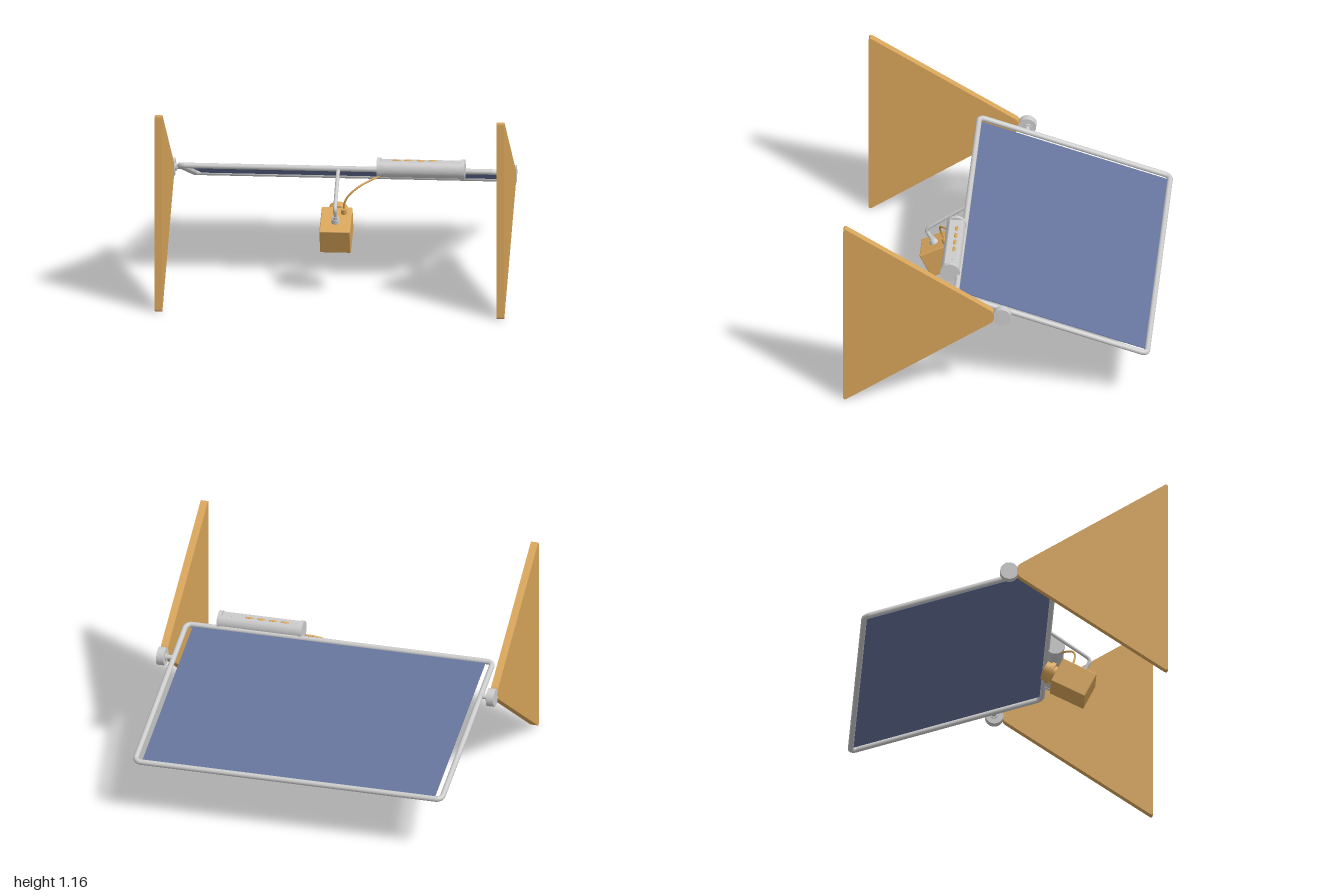
import * as THREE from 'three';
import { RoundedBoxGeometry } from 'three/addons/geometries/RoundedBoxGeometry.js';

const grey = new THREE.MeshStandardMaterial({ color: 0xcccccc });
const wood = new THREE.MeshStandardMaterial({ color: 0xd8a55a });
const blue = new THREE.MeshStandardMaterial({ color: 0x66749c });

function add(parent, name, geometry, material, x = 0, y = 0, z = 0) {
  const mesh = new THREE.Mesh(geometry, material);
  mesh.name = name;
  mesh.position.set(x, y, z);
  parent.add(mesh);
  return mesh;
}

function group(parent, name, x = 0, y = 0, z = 0, tilt = 0) {
  const g = new THREE.Group();
  g.name = name;
  g.position.set(x, y, z);
  g.rotation.x = tilt;
  parent.add(g);
  return g;
}

const cylX = (r, length, sides = 32) => new THREE.CylinderGeometry(r, r, length, sides).rotateZ(Math.PI / 2);
const cylZ = (r, length, sides = 32) => new THREE.CylinderGeometry(r, r, length, sides).rotateX(Math.PI / 2);

// Polygon whose corners are softened over the distance cut
function roundedPolygon(points, cut) {
  const shape = new THREE.Shape();
  points.forEach((p, i) => {
    const prev = points[(i + points.length - 1) % points.length];
    const next = points[(i + 1) % points.length];
    const a = p.clone().add(prev.clone().sub(p).setLength(cut));
    const b = p.clone().add(next.clone().sub(p).setLength(cut));
    if (i === 0) shape.moveTo(a.x, a.y);
    else shape.lineTo(a.x, a.y);
    shape.quadraticCurveTo(p.x, p.y, b.x, b.y);
  });
  shape.closePath();
  return shape;
}

// Extrudes a (z, y) profile along x, from x0 to x1
function extrudeX(shape, x0, x1) {
  return new THREE.ExtrudeGeometry(shape, { depth: x1 - x0, bevelEnabled: false, curveSegments: 24 })
    .rotateY(-Math.PI / 2).translate(x1, 0, 0);
}

export function createModel() {
  const model = new THREE.Group();
  model.name = 'tiltingScreen';

  // Triangular side panels with pivot discs
  const outline = [[0.875, -0.012], [0.875, 1.172], [0.012, 0.636], [0.012, 0.576]]
    .map(([z, y]) => new THREE.Vector2(z, y));
  const panel = roundedPolygon(outline, 0.028);
  for (const s of [1, -1]) {
    const side = s > 0 ? 'left' : 'right';
    add(model, side + 'Panel', s > 0 ? extrudeX(panel, 0.957, 1) : extrudeX(panel, -1, -0.957), wood);
    add(model, side + 'PivotDisc', cylX(0.052, 0.044, 40), grey, s * 0.977, 0.603, -0.032);
    add(model, side + 'PivotCollar', cylX(0.022, 0.012), grey, s * 0.951, 0.603, -0.035);
    add(model, side + 'PivotRod', cylX(0.014, 0.05), grey, s * 0.932, 0.603, -0.035);
  }

  // Tilted screen in a tubular frame
  const screen = group(model, 'screen', 0, 0.513, -0.31, -0.311);
  const W = 0.909, L = 0.574, R = 0.035, T = 0.016;
  add(screen, 'sheet', new THREE.BoxGeometry(1.734, 0.004, 2 * L - 0.01), blue);
  for (const s of [1, -1]) {
    add(screen, s > 0 ? 'frontRail' : 'backRail', cylX(T, 2 * (W - R), 16), grey, 0, 0, s * L);
    add(screen, s > 0 ? 'leftRail' : 'rightRail', cylZ(T, 2 * (L - R), 16), grey, s * W, 0, 0);
  }
  for (let i = 0; i < 4; i++) {
    const sx = i === 0 || i === 3 ? 1 : -1;
    const sz = i < 2 ? 1 : -1;
    const bend = new THREE.TorusGeometry(R, T, 16, 10, Math.PI / 2)
      .rotateX(Math.PI / 2).rotateY(-i * Math.PI / 2);
    add(screen, 'frameCorner', bend, grey, sx * (W - R), 0, sz * (L - R));
  }

  // Control unit: round housing with a flat top, end caps and buttons
  const control = group(model, 'controlUnit', 0, 0.714, 0.284);
  const cut = Math.asin(0.042 / 0.054);
  const housing = new THREE.Shape();
  housing.absarc(0, 0, 0.054, Math.PI - cut, Math.PI * 2 + cut, false);
  housing.closePath();
  add(control, 'housing', extrudeX(housing, 0.235, 0.72), grey);
  for (const x of [0.237, 0.718]) add(control, 'endCap', cylX(0.057, 0.022, 40), grey, x, 0, 0);
  for (let i = 0; i < 4; i++) {
    const button = add(control, 'button', new THREE.SphereGeometry(1, 20, 12), wood, 0.337 + i * 0.0695, 0.042, -0.01);
    button.scale.set(0.026, 0.006, 0.01);
  }
  add(control, 'indicator', new THREE.CylinderGeometry(0.006, 0.006, 0.004, 16), grey, 0.65, 0.043, -0.01);

  // Projector box with a stepped lens pointing up at the sheet
  const projector = group(model, 'projector', 0, 0.365, 0.376, 0.459);
  add(projector, 'projectorBox', new RoundedBoxGeometry(0.176, 0.16, 0.215, 3, 0.006), wood);
  const lens = [[0.05, 0.1, 0.13], [0.064, 0.13, 0.155], [0.055, 0.155, 0.182]];
  for (const [r, a, b] of lens) add(projector, 'lensRing', cylZ(r, b - a, 40), wood, 0, 0, -(a + b) / 2);
  add(projector, 'armSocket', new THREE.CylinderGeometry(0.02, 0.026, 0.03, 24), grey, 0, 0.092, 0.02);
  add(projector, 'armNut', new THREE.CylinderGeometry(0.016, 0.016, 0.016, 24), grey, 0, 0.114, 0.02);
  add(projector, 'cablePlug', new THREE.CylinderGeometry(0.013, 0.019, 0.034, 24), wood, 0.043, 0.094, -0.058);

  // Bent arm hanging from the front rail
  const v = (x, y, z) => new THREE.Vector3(x, y, z);
  const arm = new THREE.CurvePath();
  arm.add(new THREE.LineCurve3(v(0, 0.69, 0.236), v(0, 0.537, 0.45)));
  arm.add(new THREE.QuadraticBezierCurve3(v(0, 0.537, 0.45), v(0, 0.515, 0.481), v(0, 0.492, 0.465)));
  arm.add(new THREE.LineCurve3(v(0, 0.492, 0.465), v(0, 0.44, 0.433)));
  add(model, 'supportArm', new THREE.TubeGeometry(arm, 60, 0.011, 14), grey);

  // Cable from the projector to the control unit
  const cable = new THREE.CatmullRomCurve3([
    v(0.043, 0.475, 0.36), v(0.045, 0.52, 0.38), v(0.07, 0.572, 0.39),
    v(0.13, 0.625, 0.38), v(0.185, 0.652, 0.35), v(0.245, 0.672, 0.315),
  ]);
  add(model, 'cable', new THREE.TubeGeometry(cable, 48, 0.006, 10), wood);

  return model;
}
